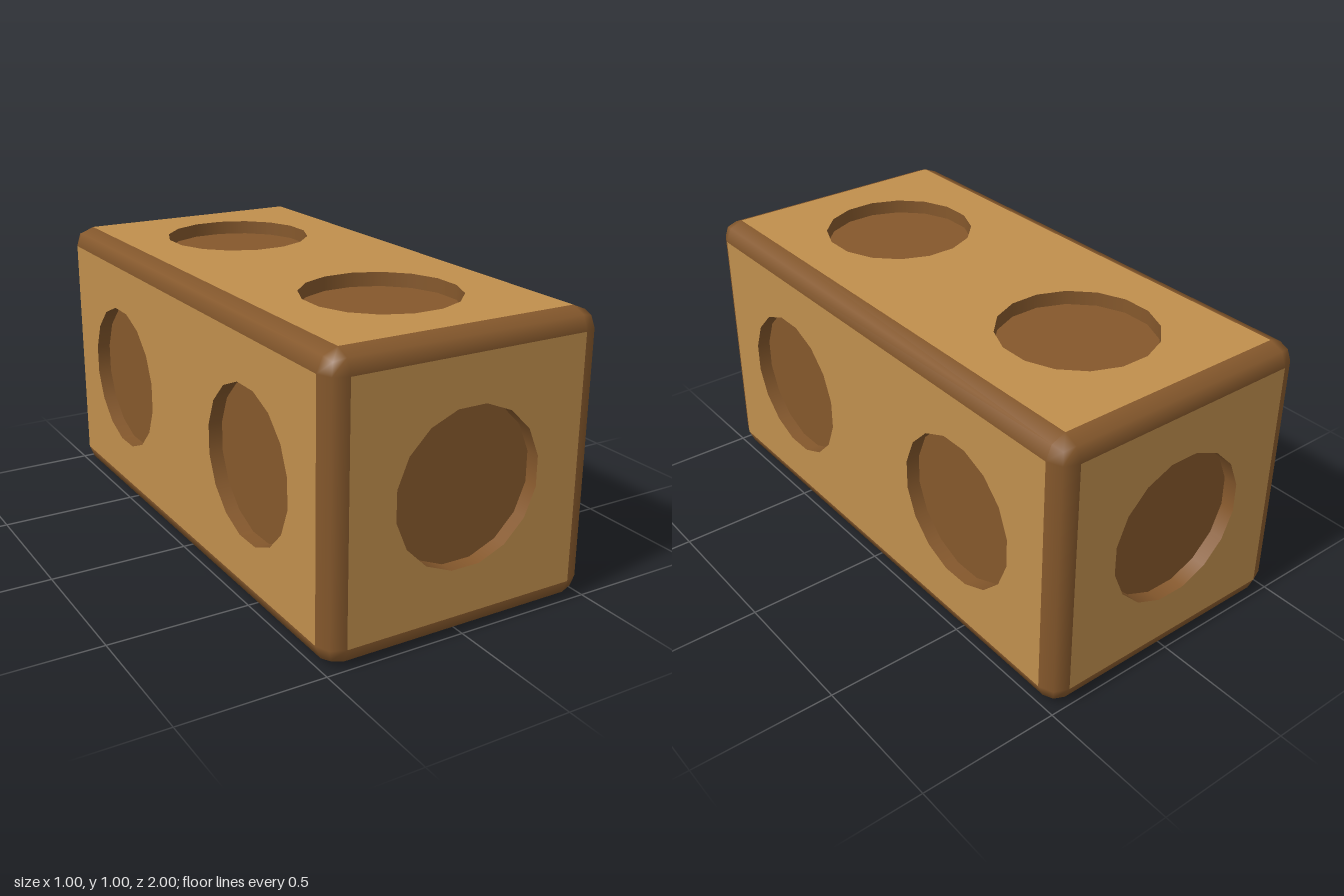
import * as THREE from 'three';
import { RoundedBoxGeometry } from 'three/addons/geometries/RoundedBoxGeometry.js';

const HALF = [0.5, 0.5, 1];
const BEVEL = 0.07, HOLE_R = 0.27, HOLE_DEPTH = 0.05, SIDES = 16;

const lightWood = new THREE.MeshStandardMaterial({ color: 0xc08f4d });
lightWood.name = 'lightWood';
const darkWood = new THREE.MeshStandardMaterial({ color: 0x85582c });
darkWood.name = 'darkWood';

// Rounded box with its six flat faces removed, leaving only the bevels
function bevelFrame() {
  const box = new RoundedBoxGeometry(1, 1, 2, 1, BEVEL);
  const p = box.attributes.position, n = box.attributes.normal;
  const pos = [], nor = [];
  for (let i = 0; i < p.count; i += 3) {
    const flat = HALF.some((h, axis) => [0, 1, 2].every(
      k => Math.abs(Math.abs(p.getComponent(i + k, axis)) - h) < 1e-4));
    if (flat) continue;
    for (let k = i; k < i + 3; k++) {
      pos.push(p.getX(k), p.getY(k), p.getZ(k));
      nor.push(n.getX(k), n.getY(k), n.getZ(k));
    }
  }
  const geo = new THREE.BufferGeometry();
  geo.setAttribute('position', new THREE.Float32BufferAttribute(pos, 3));
  geo.setAttribute('normal', new THREE.Float32BufferAttribute(nor, 3));
  return geo;
}

function addMesh(parent, name, geo, mat) {
  const mesh = new THREE.Mesh(geo, mat);
  mesh.name = name;
  parent.add(mesh);
}

// One flat face, lying in its own xy plane and facing +z, with round recesses
function facePanel(name, w, h, centres) {
  const group = new THREE.Group();
  group.name = name;
  const shape = new THREE.Shape([[-w, -h], [w, -h], [w, h], [-w, h]].map(
    ([x, y]) => new THREE.Vector2(x, y)));
  for (const [cx, cy] of centres) {
    const ring = [];
    for (let i = 0; i < SIDES; i++) {
      const a = (i + 0.5) / SIDES * Math.PI * 2;
      ring.push(new THREE.Vector2(cx + HOLE_R * Math.cos(a), cy + HOLE_R * Math.sin(a)));
    }
    shape.holes.push(new THREE.Path(ring.slice().reverse()));

    // Recess wall, facing inwards
    const wall = new THREE.CylinderGeometry(HOLE_R, HOLE_R, HOLE_DEPTH, SIDES, 1, true, Math.PI / SIDES);
    wall.rotateX(Math.PI / 2).translate(cx, cy, -HOLE_DEPTH / 2);
    const idx = wall.index.array;
    for (let i = 0; i < idx.length; i += 3) [idx[i], idx[i + 1]] = [idx[i + 1], idx[i]];
    const normals = wall.attributes.normal.array;
    for (let i = 0; i < normals.length; i++) normals[i] *= -1;
    addMesh(group, 'recessWall', wall, darkWood);

    // Recess floor
    const floor = new THREE.CircleGeometry(HOLE_R, SIDES, Math.PI / SIDES);
    floor.translate(cx, cy, -HOLE_DEPTH);
    addMesh(group, 'recessFloor', floor, darkWood);
  }
  addMesh(group, 'panel', new THREE.ShapeGeometry(shape), lightWood);
  return group;
}

export function createModel() {
  const model = new THREE.Group();
  model.name = 'block';
  const body = new THREE.Group();
  body.name = 'blockBody';
  body.position.y = 0.5;
  model.add(body);

  addMesh(body, 'bevelledEdges', bevelFrame(), darkWood);

  const s = 0.5 - BEVEL, l = 1 - BEVEL, q = Math.PI / 2;
  const one = [[0, 0]], along = [[-0.5, 0], [0.5, 0]], up = [[0, -0.5], [0, 0.5]];
  // name, half width, half height, recess centres, rotation, position
  const faces = [
    ['frontFace', s, s, one, [0, 0, 0], [0, 0, 1]],
    ['backFace', s, s, one, [0, 2 * q, 0], [0, 0, -1]],
    ['leftFace', l, s, along, [0, q, 0], [0.5, 0, 0]],
    ['rightFace', l, s, along, [0, -q, 0], [-0.5, 0, 0]],
    ['topFace', s, l, up, [-q, 0, 0], [0, 0.5, 0]],
    ['bottomFace', s, l, up, [q, 0, 0], [0, -0.5, 0]],
  ];
  for (const [name, w, h, centres, rot, pos] of faces) {
    const face = facePanel(name, w, h, centres);
    face.rotation.set(...rot);
    face.position.set(...pos);
    body.add(face);
  }
  return model;
}
